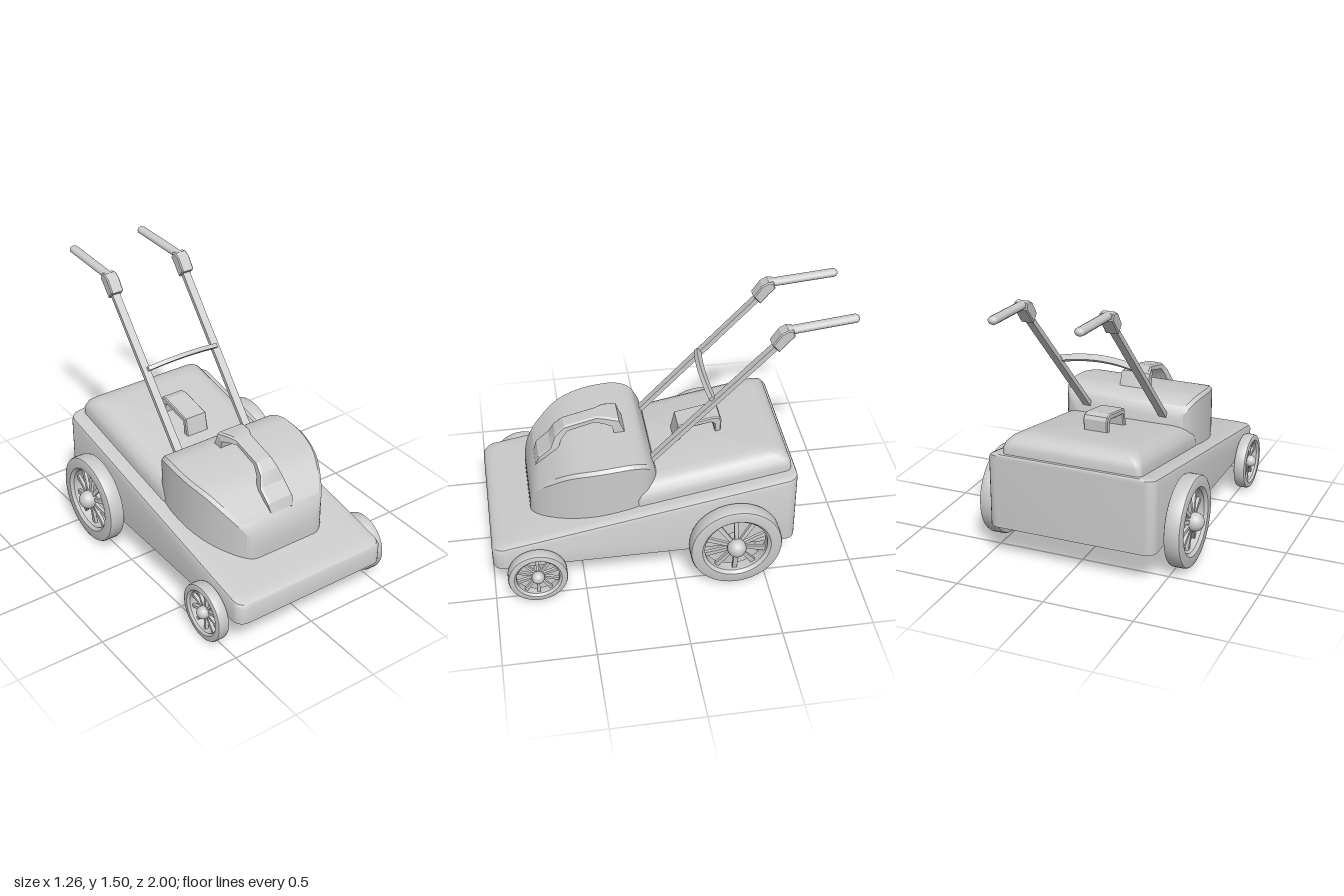
import * as THREE from 'three';
import { toCreasedNormals, mergeGeometries } from 'three/addons/utils/BufferGeometryUtils.js';

const V = (x, y, z) => new THREE.Vector3(x, y, z);
const material = new THREE.MeshStandardMaterial({ color: 0xcccccc });

function mesh(geometry, name, parent) {
  const m = new THREE.Mesh(geometry, material);
  m.name = name;
  parent.add(m);
  return m;
}

// Closed skin through equal-length rings, capped at both ends.
function loft(rings, crease = 0.6) {
  const n = rings[0].length, pos = [], tris = [];
  rings.forEach(r => r.forEach(p => pos.push(p.x, p.y, p.z)));
  for (let i = 0; i < rings.length - 1; i++) {
    for (let j = 0; j < n; j++) {
      const a = i * n + j, b = i * n + (j + 1) % n;
      tris.push([a, b, b + n], [a, b + n, a + n]);
    }
  }
  [0, rings.length - 1].forEach((r, end) => {
    const c = rings[r].reduce((s, p) => s.add(p), V(0, 0, 0)).divideScalar(n);
    const ci = pos.length / 3;
    pos.push(c.x, c.y, c.z);
    for (let j = 0; j < n; j++) {
      const a = r * n + j, b = r * n + (j + 1) % n;
      tris.push(end ? [ci, a, b] : [ci, b, a]);
    }
  });
  // Turn the faces outward whatever the ring direction.
  const at = i => V(pos[3 * i], pos[3 * i + 1], pos[3 * i + 2]);
  const volume = tris.reduce((s, [a, b, c]) => s + at(a).dot(at(b).cross(at(c))), 0);
  if (volume < 0) tris.forEach(t => t.reverse());
  const g = new THREE.BufferGeometry();
  g.setAttribute('position', new THREE.Float32BufferAttribute(pos, 3));
  g.setIndex(tris.flat());
  return toCreasedNormals(g, crease);
}

// Rounded rectangle seen from above; y follows a rule of z.
function planRing(hw, zBack, zFront, r, yRule) {
  const ring = [];
  [[1, 1], [-1, 1], [-1, -1], [1, -1]].forEach(([sx, sz], k) => {
    for (let i = 0; i <= 6; i++) {
      const a = (k + i / 6) * Math.PI / 2;
      const x = sx * (hw - r) + r * Math.cos(a);
      const z = (sz > 0 ? zFront - r : zBack + r) + r * Math.sin(a);
      ring.push(V(x, yRule(z), z));
    }
  });
  return ring;
}

// Side outline of [z, y] points, extruded across x.
function sideExtrude(points, width) {
  const shape = new THREE.Shape(points.map(p => new THREE.Vector2(...p)));
  const b = 0.006;
  const g = new THREE.ExtrudeGeometry(shape, {
    depth: width - 2 * b, bevelThickness: b, bevelSize: b, bevelOffset: -b, bevelSegments: 1 });
  g.translate(0, 0, b - width / 2);
  return g.rotateY(-Math.PI / 2);
}

// Moves a geometry built along +z so that it runs from a to b.
function between(geometry, a, b) {
  const o = new THREE.Object3D();
  o.position.copy(a).add(b).multiplyScalar(0.5);
  o.lookAt(b);
  o.updateMatrix();
  return geometry.applyMatrix4(o.matrix);
}

const deckTop = z => 0.337 + (0.93 - z) * 0.1826;

function wheel(R, rim, half, hubX, hubR, name) {
  const g = new THREE.Group();
  g.name = name;
  const c = half * 0.35;
  const tyre = [[rim, -half + c], [rim + c, -half], [R - c, -half], [R - c * 0.3, -half + c * 0.3], [R, -half + c],
    [R, half - c], [R - c * 0.3, half - c * 0.3], [R - c, half], [rim + c, half], [rim, half - c], [rim, -half + c]];
  const lathe = new THREE.LatheGeometry(tyre.map(p => new THREE.Vector2(...p)), 48).rotateZ(-Math.PI / 2);
  mesh(toCreasedNormals(lathe, 0.7), 'tyre', g);
  // Spokes widen toward the rim and slope out to the hub
  const spokes = [];
  for (let i = 0; i < 10; i++) {
    const ring = (r, x, w) => [[-1, -1], [1, -1], [1, 1], [-1, 1]].map(([s, t]) => V(x + t * 0.009, r, s * w));
    spokes.push(loft([ring(hubR * 0.5, hubX - 0.02, R * 0.035), ring(rim * 1.03, 0, R * 0.055)], 0.3)
      .rotateX(i * Math.PI / 5));
  }
  mesh(mergeGeometries(spokes), 'spokes', g);
  mesh(new THREE.SphereGeometry(hubR, 20, 14), 'hub', g).position.x = hubX;
  const axle = mesh(new THREE.CylinderGeometry(hubR * 0.5, hubR * 0.5, half + hubX + 0.03, 16).rotateZ(Math.PI / 2), 'axle', g);
  axle.position.x = (hubX - half - 0.03) / 2;
  return g;
}

function createModel() {
  const model = new THREE.Group();
  model.name = 'lawnMower';

  // Wedge deck with a softened top edge
  mesh(loft([
    planRing(0.48, -0.68, 1, 0.06, () => 0.2),
    planRing(0.48, -0.68, 1, 0.06, z => deckTop(z) - 0.03),
    planRing(0.472, -0.68, 0.99, 0.06, z => deckTop(z) - 0.012),
    planRing(0.45, -0.675, 0.96, 0.06, z => deckTop(z) - 0.002),
    planRing(0.43, -0.67, 0.93, 0.05, deckTop),
  ]), 'deck', model);

  // Padded rear cover, parallel to the deck
  mesh(loft([
    planRing(0.396, -0.655, 0.2, 0.03, z => deckTop(z) - 0.03),
    planRing(0.396, -0.655, 0.2, 0.03, z => deckTop(z) + 0.035),
    planRing(0.385, -0.643, 0.2, 0.04, z => deckTop(z) + 0.07),
    planRing(0.36, -0.615, 0.2, 0.05, z => deckTop(z) + 0.1),
    planRing(0.33, -0.57, 0.2, 0.05, z => deckTop(z) + 0.118),
    planRing(0.29, -0.51, 0.2, 0.05, z => deckTop(z) + 0.126),
  ], 0.7), 'rearCover', model);

  // Engine hood: half width, height, z along its length
  const hoodPath = new THREE.CatmullRomCurve3([
    [0.29, 0.62, 0.075], [0.335, 0.68, 0.095], [0.375, 0.733, 0.14], [0.395, 0.755, 0.216], [0.4, 0.752, 0.3],
    [0.395, 0.738, 0.41], [0.36, 0.70, 0.553], [0.295, 0.61, 0.68], [0.245, 0.54, 0.74],
    [0.21, 0.47, 0.763], [0.18, 0.37, 0.768]].map(p => V(...p)));
  mesh(loft(hoodPath.getPoints(40).map(({ x: w, y: h, z }) => {
    const base = Math.min(deckTop(z) - 0.03, h - 0.03), e = 0.018;
    return [[-w, base], [-w, h - e], [-w + e, h], [w - e, h], [w, h - e], [w, base]].map(([x, y]) => V(x, y, z));
  }), 0.5), 'engineHood', model);

  // Hood handle: outer z, y, inner z, y, half width
  const hoodHandle = [
    [0.72, 0.575, 0.62, 0.575, 0.07], [0.70, 0.63, 0.61, 0.62, 0.08], [0.63, 0.69, 0.595, 0.65, 0.08],
    [0.60, 0.755, 0.57, 0.72, 0.06], [0.55, 0.80, 0.53, 0.77, 0.05], [0.37, 0.845, 0.38, 0.812, 0.05],
    [0.325, 0.85, 0.335, 0.812, 0.07], [0.25, 0.838, 0.29, 0.80, 0.085], [0.213, 0.74, 0.272, 0.73, 0.085]];
  mesh(loft(hoodHandle.map(([zo, yo, zi, yi, w]) =>
    [V(-w, yi, zi), V(-w, yo - 0.008, zo), V(-w + 0.012, yo, zo), V(w - 0.012, yo, zo), V(w, yo - 0.008, zo), V(w, yi, zi)]),
  0.35), 'hoodHandle', model);

  // Rear cover handle
  mesh(sideExtrude([[-0.055, 0.63], [-0.08, 0.745], [-0.275, 0.782], [-0.315, 0.775], [-0.325, 0.755], [-0.32, 0.67],
    [-0.29, 0.67], [-0.283, 0.738], [-0.265, 0.747], [-0.105, 0.718], [-0.09, 0.63]], 0.14), 'coverHandle', model);

  // Push bars, elbows and grips
  const push = new THREE.Group();
  push.name = 'pushHandle';
  model.add(push);
  [['left', 0.23, 0.265, 0.242], ['right', -0.23, -0.205, -0.215]].forEach(([side, x0, x1, x2]) => {
    const a = V(x0, 0.64, 0.12), b = V(x1, 1.40, -0.59);
    mesh(between(new THREE.BoxGeometry(0.045, 0.026, a.distanceTo(b)), a, b), side + 'Bar', push);
    const elbow = sideExtrude([[-0.53, 1.39], [-0.57, 1.345], [-0.62, 1.405], [-0.65, 1.435], [-0.64, 1.47],
      [-0.61, 1.475], [-0.575, 1.455]], 0.076);
    mesh(elbow, side + 'Elbow', push).position.x = x1;
    const c = V(x1, 1.452, -0.59), d = V(x2, 1.481, -1);
    const grip = new THREE.CapsuleGeometry(0.024, c.distanceTo(d) - 0.048, 5, 14).rotateX(Math.PI / 2).scale(1.15, 0.92, 1);
    mesh(between(grip, c, d), side + 'Grip', push);
  });

  // Arched crossbar, square to the push bars
  const sections = [];
  for (let i = 0; i <= 16; i++) {
    const t = i / 8 - 1, lift = 0.024 * (1 - t * t);
    const y = 1.042 + lift, z = -0.235 + lift * 0.8;
    sections.push([[0.02, 0.004], [0.004, 0.022], [-0.02, -0.004], [-0.004, -0.022]]
      .map(([dy, dz]) => V(0.018 + t * 0.23, y + dy, z + dz)));
  }
  mesh(loft(sections), 'crossbar', push);

  // Wheels in mirrored pairs
  [[1, 'left'], [-1, 'right']].forEach(([s, side]) => {
    const rear = wheel(0.255, 0.175, 0.047, 0.04, 0.053, side + 'RearWheel');
    rear.position.set(s * 0.538, 0.263, -0.325);
    const front = wheel(0.163, 0.118, 0.034, 0.02, 0.036, side + 'FrontWheel');
    front.position.set(s * 0.522, 0.167, 0.765);
    [rear, front].forEach(w => {
      if (s < 0) w.rotation.y = Math.PI;
      model.add(w);
    });
  });
  return model;
}

export { createModel };
